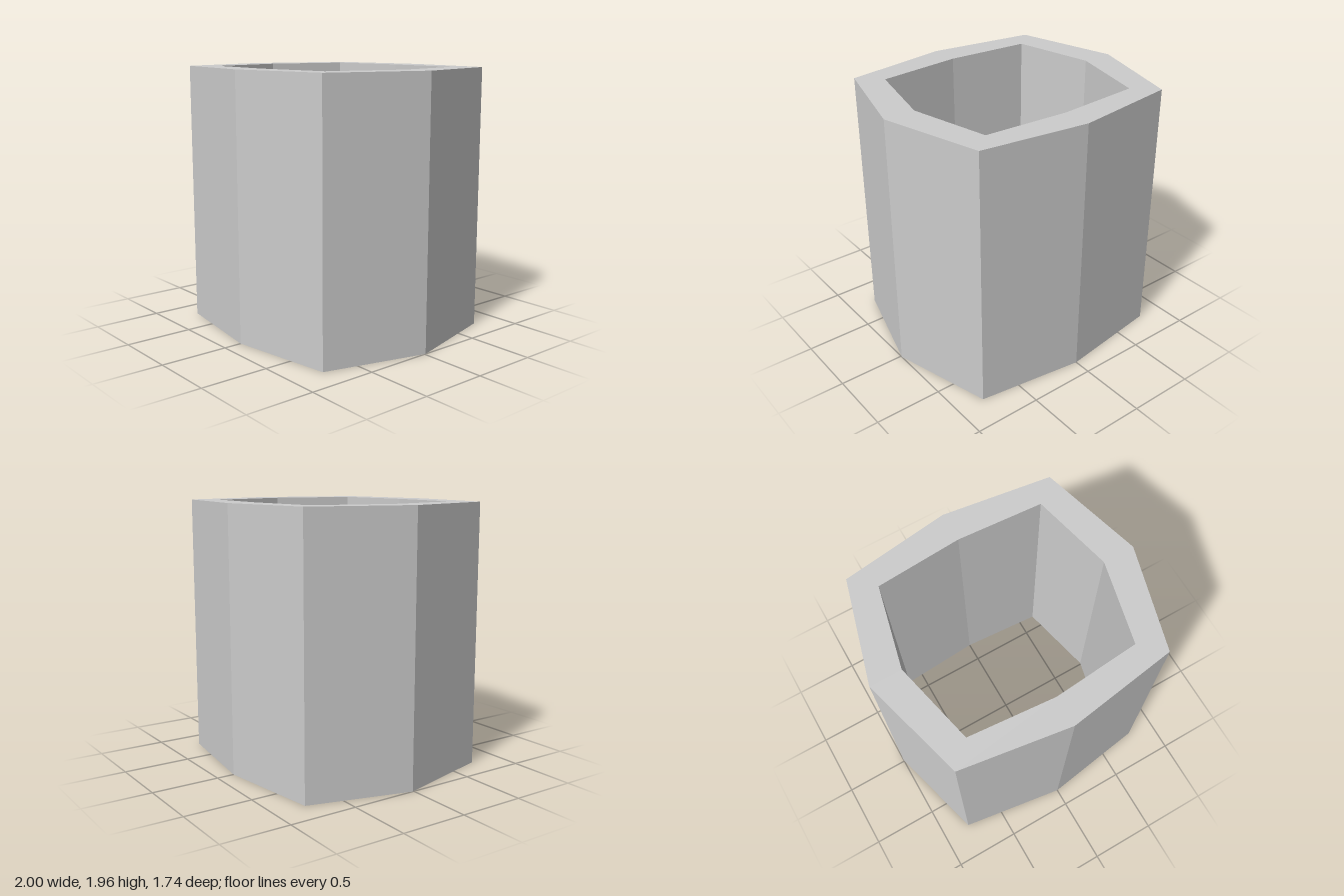
import * as THREE from 'three';

const HEIGHT = 1.96;

// Eight-sided ring outline: side tips, corners and front/back ridges, as [x, z]
function outline(tipX, cornerX, backRidge, backCorner, frontCorner, frontRidge) {
  return [
    [tipX, -0.01], [cornerX, backCorner], [0, backRidge], [-cornerX, backCorner],
    [-tipX, -0.01], [-cornerX, frontCorner], [0, frontRidge], [cornerX, frontCorner],
  ].map(([x, z]) => new THREE.Vector2(x, -z));
}

export function createModel() {
  const group = new THREE.Group();
  group.name = 'octagonalSleeve';

  // Outer wall with the through bore cut out
  const shape = new THREE.Shape(outline(1, 0.792, -0.87, -0.762, 0.748, 0.866));
  shape.holes.push(new THREE.Path(outline(0.767, 0.628, -0.65, -0.608, 0.592, 0.645)));

  const geometry = new THREE.ExtrudeGeometry(shape, { depth: HEIGHT, bevelEnabled: false });
  geometry.rotateX(-Math.PI / 2);

  const sleeve = new THREE.Mesh(
    geometry,
    new THREE.MeshStandardMaterial({ color: 0xcccccc, flatShading: true })
  );
  sleeve.name = 'sleeveWall';
  group.add(sleeve);
  return group;
}
